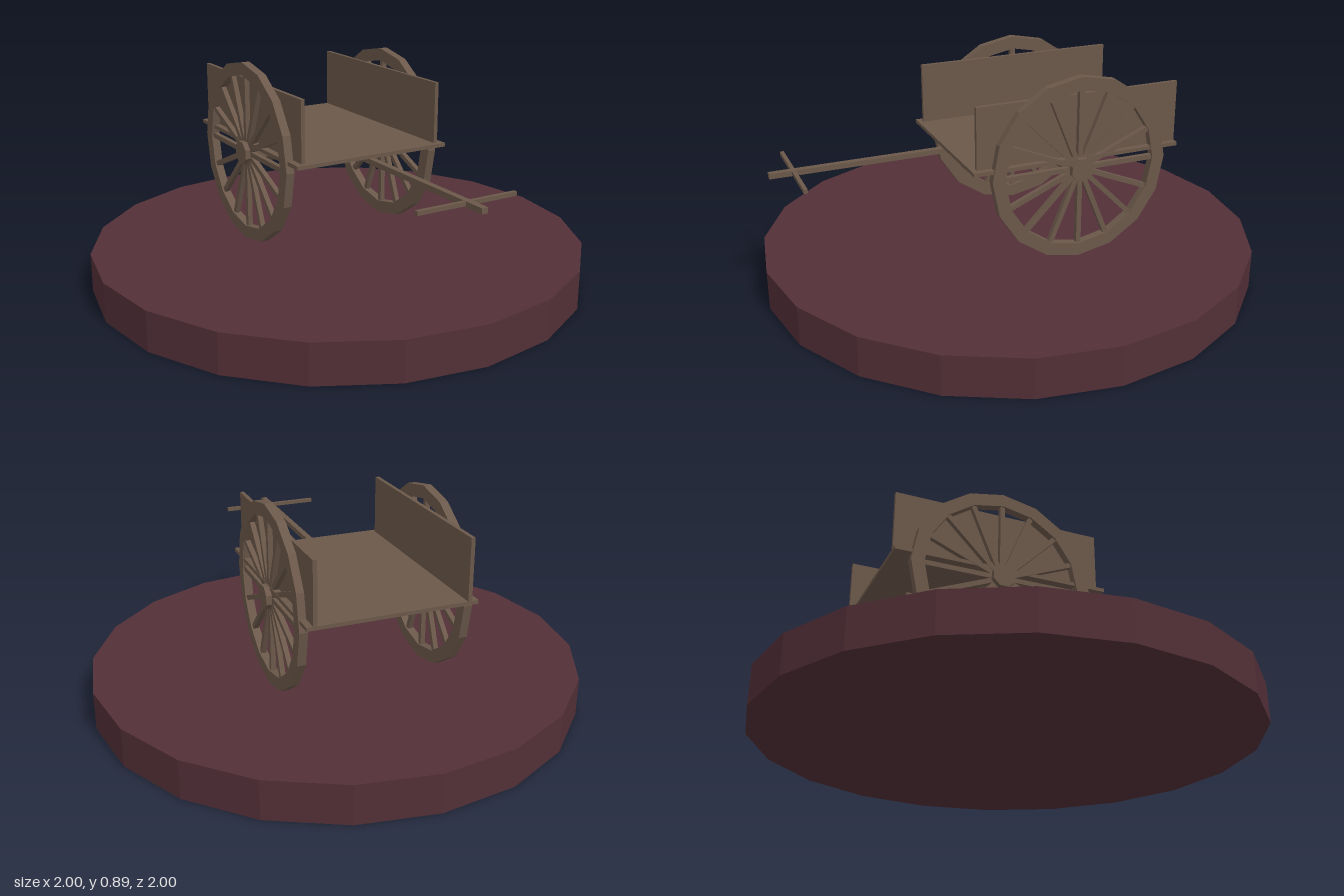
import * as THREE from 'three';

const WHEEL_Y = 0.524, WHEEL_Z = -0.162;

export function createModel() {
  const model = new THREE.Group();
  model.name = 'handcart';
  const wood = new THREE.MeshStandardMaterial({ color: 0x6b584a, flatShading: true });
  wood.name = 'weathered wood';
  const plinth = new THREE.MeshStandardMaterial({ color: 0x522f37, flatShading: true });
  plinth.name = 'dark red base';

  const add = (parent, name, geometry, material, x, y, z) => {
    const mesh = new THREE.Mesh(geometry, material);
    mesh.name = name;
    mesh.position.set(x, y, z);
    parent.add(mesh);
    return mesh;
  };
  // Box given by its lower and upper bounds on each axis
  const box = (name, [x0, x1], [y0, y1], [z0, z1]) =>
    add(model, name, new THREE.BoxGeometry(x1 - x0, y1 - y0, z1 - z0), wood,
      (x0 + x1) / 2, (y0 + y1) / 2, (z0 + z1) / 2);

  // Round base with twenty sides
  add(model, 'base', new THREE.CylinderGeometry(1, 1, 0.157, 20), plinth, 0, 0.0785, 0);

  // Cart bed and side boards
  box('deck', [-0.332, 0.336], [0.556, 0.571], [-0.588, 0.275]);
  box('rightSideBoard', [-0.305, -0.289], [0.571, 0.815], [-0.588, 0.255]);
  box('leftSideBoard', [0.295, 0.311], [0.571, 0.815], [-0.588, 0.255]);

  // Draw pole running under the deck, with its handle
  box('pole', [-0.021, 0.004], [0.535, 0.556], [-0.44, 0.957]);
  box('handle', [-0.218, 0.198], [0.539, 0.555], [0.857, 0.872]);

  // Eight-sided axle, flat side forward
  const axleGeometry = new THREE.CylinderGeometry(0.048, 0.048, 0.712, 8);
  axleGeometry.rotateY(Math.PI / 8).rotateZ(Math.PI / 2);
  add(model, 'axle', axleGeometry, wood, 0.001, WHEEL_Y, WHEEL_Z);

  // Wheel rim: sixteen-sided ring, extruded along x
  const ring = (radius) => Array.from({ length: 16 }, (_, i) => {
    const a = (i / 16) * Math.PI * 2;
    return new THREE.Vector2(Math.cos(a) * radius, Math.sin(a) * radius);
  });
  const rimShape = new THREE.Shape(ring(0.366));
  rimShape.holes.push(new THREE.Path(ring(0.314).reverse()));
  const rimGeometry = new THREE.ExtrudeGeometry(rimShape, { depth: 0.034, bevelEnabled: false });
  rimGeometry.translate(0, 0, -0.017).rotateY(Math.PI / 2);

  // Spoke reaching from inside the axle into the rim
  const spokeGeometry = new THREE.BoxGeometry(0.02, 0.3, 0.02);
  spokeGeometry.translate(0, 0.175, 0);

  for (const side of [-1, 1]) {
    const wheel = new THREE.Group();
    wheel.name = side > 0 ? 'leftWheel' : 'rightWheel';
    wheel.position.set(side * 0.324, WHEEL_Y, WHEEL_Z);
    add(wheel, 'rim', rimGeometry, wood, 0, 0, 0);
    for (let i = 0; i < 16; i++) {
      add(wheel, 'spoke', spokeGeometry, wood, 0, 0, 0).rotation.x = (i / 16) * Math.PI * 2;
    }
    model.add(wheel);
  }
  return model;
}
